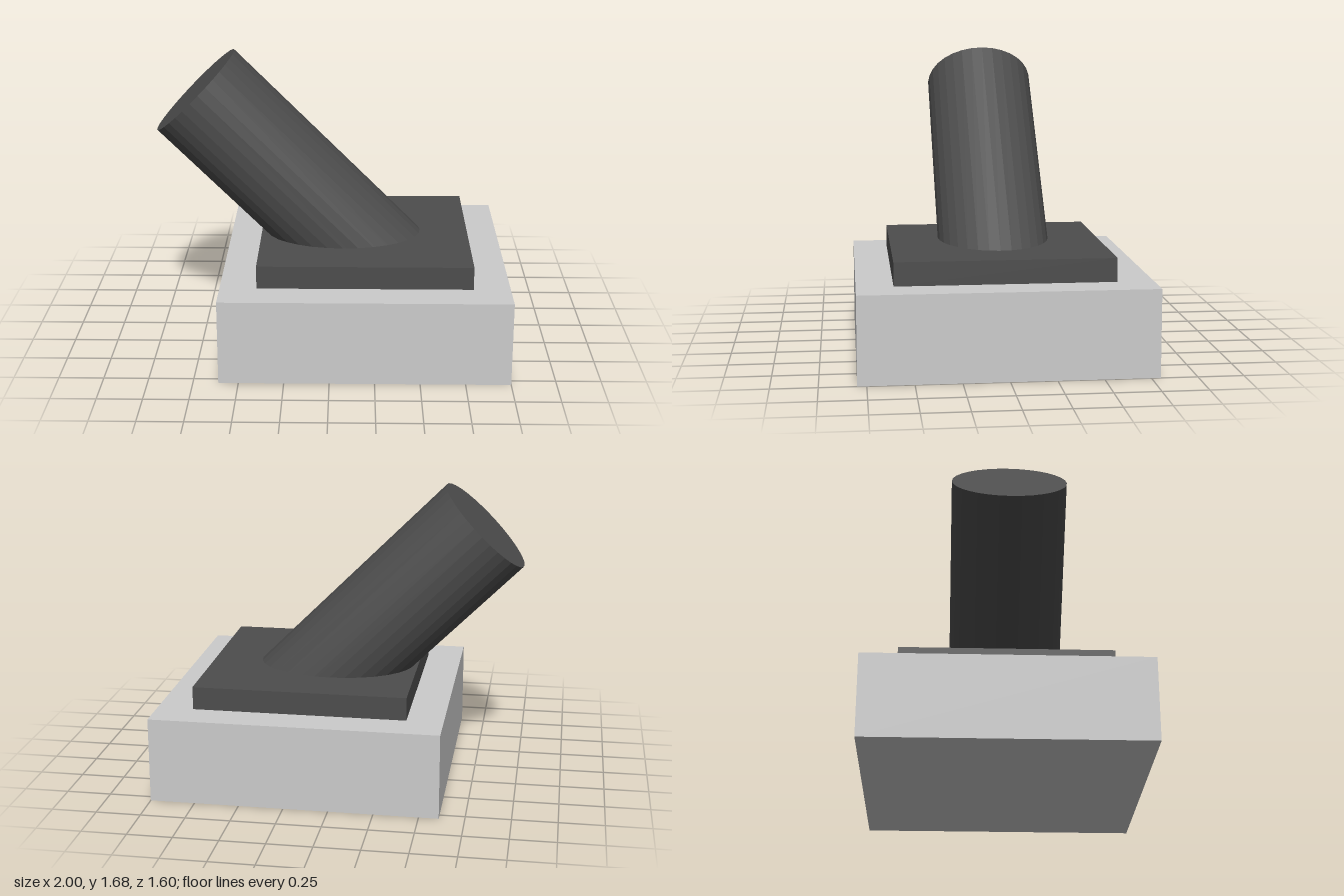
import * as THREE from 'three';

export function createModel() {
  const model = new THREE.Group();
  const grey = new THREE.MeshStandardMaterial({ color: 0xcccccc });
  const dark = new THREE.MeshStandardMaterial({ color: 0x4d4d4d });
  const darkFaceted = new THREE.MeshStandardMaterial({ color: 0x4d4d4d, flatShading: true });

  const add = (name, geometry, material, x, y) => {
    const mesh = new THREE.Mesh(geometry, material);
    mesh.name = name;
    mesh.position.set(x, y, 0);
    model.add(mesh);
    return mesh;
  };

  // Square base block with a thinner plate on top
  const centreX = 0.195, baseH = 0.48, plateH = 0.13;
  add('base', new THREE.BoxGeometry(1.61, baseH, 1.6), grey, centreX, baseH / 2);
  add('plate', new THREE.BoxGeometry(1.2, plateH, 1.2), dark, centreX, baseH + plateH / 2);

  // Cylinder leaning 45 degrees to -x, its foot sunk in the plate and base
  const radius = 0.318, length = 1.53;
  const top = new THREE.Vector2(-0.775, 1.455);
  const half = (length / 2) * Math.SQRT1_2;
  const tube = add('leaningCylinder', new THREE.CylinderGeometry(radius, radius, length, 32),
    darkFaceted, top.x + half, top.y - half);
  tube.rotation.z = Math.PI / 4;

  return model;
}
